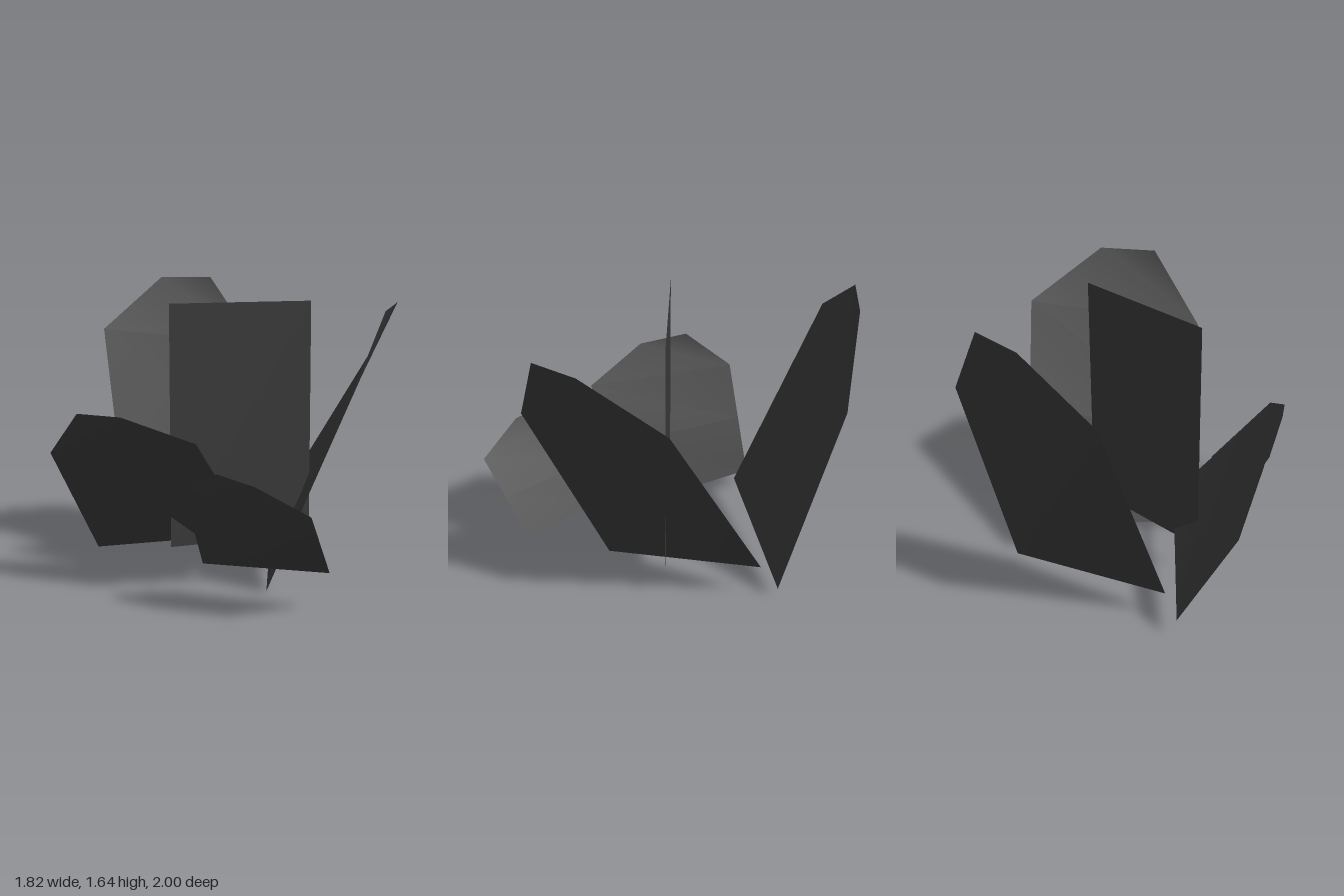
import * as THREE from 'three';

const material = new THREE.MeshStandardMaterial({ color: 0x383838, side: THREE.DoubleSide });

const midpoint = (a, b) => a.map((v, i) => (v + b[i]) / 2);

// Thin, slightly twisted slab. Corners run counter-clockwise seen from outside:
// base left, base right, shoulder right, tip right, tip left, shoulder left.
function slab(name, corners) {
  const [baseL, baseR, shoulderR, , , shoulderL] = corners;
  const points = [...corners, midpoint(baseR, shoulderR), midpoint(baseL, shoulderL)];
  const geometry = new THREE.BufferGeometry();
  geometry.setAttribute('position', new THREE.Float32BufferAttribute(points.flat(), 3));
  geometry.setIndex([
    0, 1, 6, 0, 6, 7, // lower half of the blade
    7, 6, 2, 7, 2, 5, // upper half
    5, 2, 3, 5, 3, 4, // tip
  ]);
  geometry.computeVertexNormals();
  const mesh = new THREE.Mesh(geometry, material);
  mesh.name = name;
  return mesh;
}

export function createModel() {
  const group = new THREE.Group();
  group.name = 'slabCluster';

  // Ring of outward-leaning slabs
  group.add(
    slab('leftSlab', [
      [0.03, 0, 0.305], [0.5, 0.22, -0.515], [0.91, 1.3, 0],
      [0.75, 1.535, 0.425], [0.53, 1.505, 0.645], [0.27, 1.075, 0.735],
    ]),
    slab('backSlab', [
      [0.495, 0.065, -0.615], [-0.46, 0.16, -0.46], [-0.425, 1.34, -0.915],
      [-0.017, 1.637, -1.0], [0.295, 1.635, -0.967], [0.57, 1.215, -0.89],
    ]),
    slab('rightSlab', [
      [-0.613, 0.117, -0.553], [0, 0.29, 0.177], [-0.417, 0.85, 0.39],
      [-0.71, 0.966, 0.098], [-0.85, 0.957, -0.18], [-0.914, 0.707, -0.458],
    ]),
    slab('frontSlab', [
      [-0.32, 0.185, 0.253], [0.156, 0.202, 0.752], [-0.095, 0.57, 0.998],
      [-0.31, 0.705, 0.824], [-0.42, 0.742, 0.638], [-0.494, 0.608, 0.413],
    ]),
  );

  // Upright central panel, turned slightly
  const panel = new THREE.Mesh(new THREE.PlaneGeometry(0.832, 1.327), material);
  panel.name = 'centrePanel';
  panel.position.set(0.049, 0.866, -0.032);
  panel.rotation.y = -0.077;
  group.add(panel);

  return group;
}
